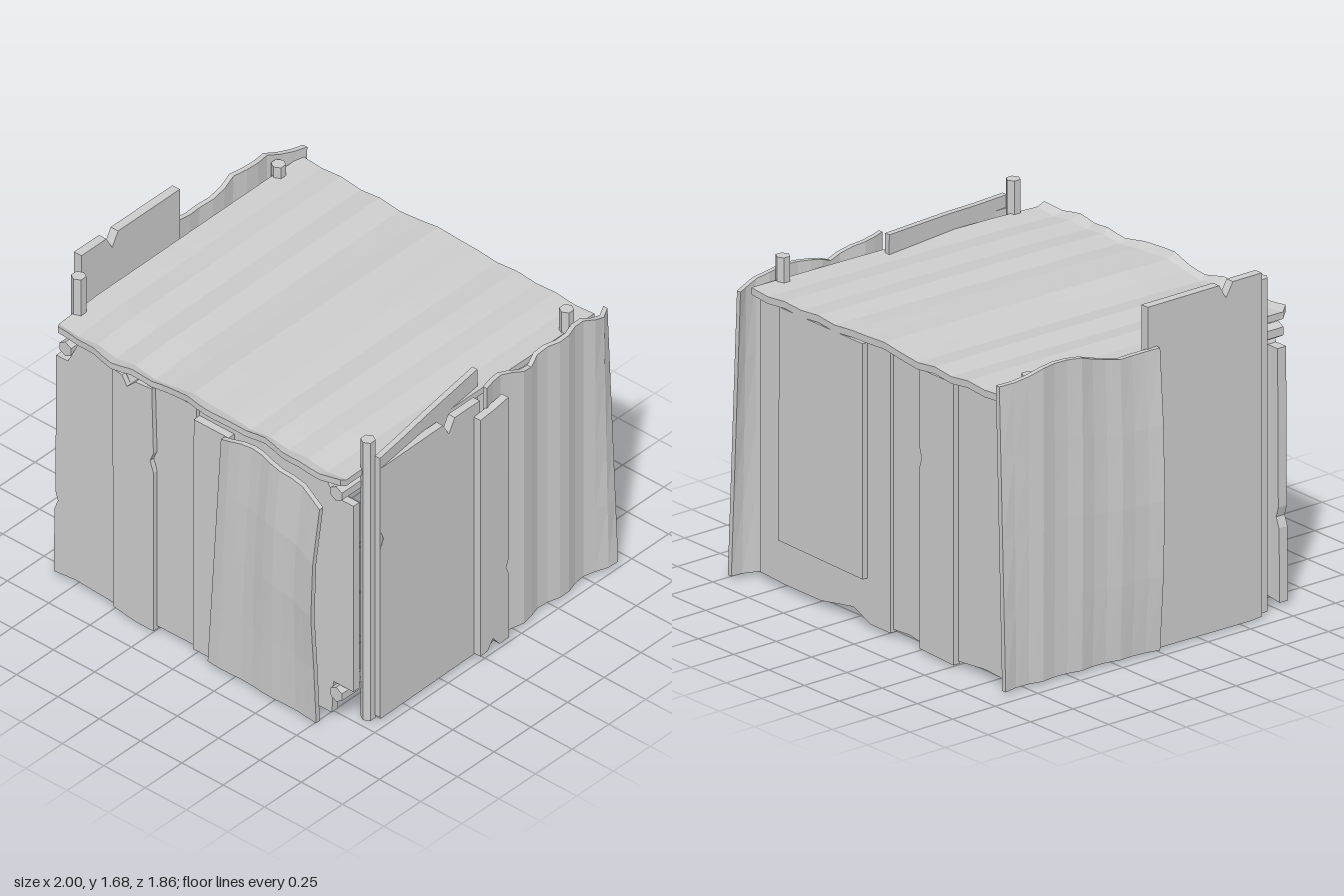
import * as THREE from 'three';

export function createModel() {
  const model = new THREE.Group();
  const mat = new THREE.MeshStandardMaterial({ color: 0xcccccc, flatShading: true });

  function add(name, geo) {
    const mesh = new THREE.Mesh(geo, mat);
    mesh.name = name;
    model.add(mesh);
    return mesh;
  }

  // Flat board with a ragged outline, facing front or back: z0 is its rear face
  function boardGeo(pts, t) {
    const shape = new THREE.Shape(pts.map(([a, b]) => new THREE.Vector2(a, b)));
    return new THREE.ExtrudeGeometry(shape, { depth: t, bevelEnabled: false });
  }
  const board = (name, pts, z0, t = 0.04) => add(name, boardGeo(pts, t).translate(0, 0, z0));

  // The same for a side wall: the outline is in (z, y), x1 is its face towards +x
  const sideBoard = (name, pts, x1, t = 0.04) =>
    add(name, boardGeo(pts, t).rotateY(-Math.PI / 2).translate(x1, 0, 0));

  // Bent sheet: a subdivided box whose points follow a rule of (u, v, w)
  function sheet(name, nu, nv, t, rule) {
    const geo = new THREE.BoxGeometry(1, 1, 1, nu, nv, 1);
    const p = geo.attributes.position;
    for (let i = 0; i < p.count; i++) {
      p.setXYZ(i, ...rule(p.getX(i) + 0.5, p.getY(i) + 0.5, p.getZ(i) * t));
    }
    geo.computeVertexNormals();
    return add(name, geo);
  }

  // Straight-line interpolation through evenly spaced values
  function along(values, u) {
    const f = u * (values.length - 1);
    const i = Math.min(Math.floor(f), values.length - 2);
    return THREE.MathUtils.lerp(values[i], values[i + 1], f - i);
  }
  const lerp = THREE.MathUtils.lerp;

  // Roof: gently corrugated across x, with a turned-up lip along the front
  const ripple = [0.01, -0.004, 0.01, -0.012, 0.006, -0.016, 0, 0.022, 0.012, 0.006, -0.01, 0.006, -0.01, 0, -0.018, -0.004];
  sheet('roof', 30, 8, 0.034, (u, v, w) => {
    const x = lerp(lerp(-0.83, -0.865, Math.min(1, v * 6)), lerp(0.88, 0.905, v), u);
    const front = 0.857 + 0.013 * Math.sin(x * 11 + 0.6);
    const z = along([front, 0.81, 0.54, 0.27, 0, -0.22, -0.44, -0.65, -0.853], v);
    const y = along([1.41, 1.392, 1.4, 1.402, 1.404, 1.406, 1.407, 1.408, 1.408], v);
    return [x, y + along(ripple, u) * lerp(1, 0.7, v) + w, z];
  });

  // Corner posts
  for (const [x, z, h] of [[-0.853, 0.68, 1.62], [0.898, 0.68, 1.57], [-0.853, -0.68, 1.49], [0.89, -0.68, 1.54]]) {
    add('cornerPost', new THREE.CylinderGeometry(0.035, 0.035, h, 6)).position.set(x, h / 2, z);
  }

  // Short rail ends that show beside the front wall
  for (const [x, y] of [[-0.8, 1.315], [0.838, 1.315], [0.838, 0.18]]) {
    const rail = add('railEnd', new THREE.CylinderGeometry(0.04, 0.04, 0.2, 6));
    rail.rotation.x = Math.PI / 2;
    rail.position.set(x, y, 0.73);
  }

  // Front wall
  board('frontLeftPanel', [[-0.875, 0.02], [-0.75, 0.035], [-0.49, 0.02], [-0.015, 0.025], [-0.01, 1.38],
    [-0.35, 1.37], [-0.41, 1.31], [-0.44, 1.37], [-0.73, 1.37], [-0.79, 1.25], [-0.86, 1.25],
    [-0.865, 0.48], [-0.85, 0.43], [-0.87, 0.38]], 0.775, 0.05);
  board('frontPlank', [[-0.49, 0.025], [-0.36, 0.005], [-0.25, 0.005], [-0.25, 0.9], [-0.27, 0.96],
    [-0.25, 1.01], [-0.26, 1.37], [-0.36, 1.36], [-0.41, 1.31], [-0.44, 1.36], [-0.5, 1.37]], 0.81, 0.04);
  board('frontNarrowPlank', [[-0.015, 0.02], [0.2, 0.02], [0.2, 1.32], [-0.01, 1.32]], 0.805);
  board('frontRightPanel', [[-0.03, 0.03], [0.79, 0.04], [0.8, 0.22], [0.92, 0.22], [0.92, 1.27],
    [0.81, 1.27], [0.74, 1.36], [-0.03, 1.385]], 0.765);
  // Bent sheet hung over the front right
  sheet('frontBentSheet', 10, 4, 0.025, (u, v, w) => {
    const x = lerp(lerp(0.1, 0.18, v), along([0.76, 0.765, 0.77, 0.785, 0.805], v), u);
    const top = along([1.32, 1.36, 1.36, 1.35, 1.33, 1.3, 1.25], u);
    const bulge = u * along([0, 0.02, 0.045, 0.048, 0.022], v);
    const wave = 0.01 * Math.sin(u * 14);
    return [x, lerp(0.025 - 0.02 * u, top, v), 0.862 + bulge + wave * (0.4 + 0.6 * v) + w];
  });

  // Right wall (+x)
  sideBoard('rightPanel', [[0.665, 0.01], [0.665, 0.97], [0.645, 1.02], [0.665, 1.07], [0.665, 1.425],
    [0.24, 1.43], [0.2, 1.36], [0.16, 1.43], [-0.01, 1.43], [-0.02, 0.02]], 0.96);
  sideBoard('rightPlank', [[0.03, 0.025], [-0.02, 0.03], [-0.055, 0.08], [-0.1, 0.025], [-0.165, 0.025],
    [-0.165, 0.38], [-0.145, 0.43], [-0.165, 0.48], [-0.16, 1.385], [-0.07, 1.37], [0.03, 1.36]], 1.0);
  // Leaning inner sheet behind the right wall
  sheet('rightInnerSheet', 8, 1, 0.03, (u, v, w) => [
    lerp(lerp(0.875, 0.85, v), 0.945, u) - w,
    lerp(0.02, along([1.51, 1.505, 1.5, 1.49, 1.485], u), v),
    lerp(-0.1, 0.67, u)]);
  // Corrugated sheet, its upper back corner bent inwards
  sheet('rightCorrugatedSheet', 14, 4, 0.025, (u, v, w) => {
    const bend = u < 0.13 ? (1 - u / 0.13) * lerp(0.03, -0.035, v) : 0;
    const top = along([1.42, 1.42, 1.46, 1.47, 1.465, 1.46, 1.46, 1.42, 1.44, 1.47, 1.475, 1.48], u);
    return [0.942 + bend + 0.015 * Math.sin(u * 20) - w, lerp(0.02 - 0.01 * u, top, v), lerp(-0.925, -0.05, u)];
  });

  // Left wall (-x)
  sideBoard('leftTallPlank', [[-0.05, 0.01], [0.55, 0.005], [0.62, 0.01], [0.62, 1.68], [0.45, 1.68],
    [0.41, 1.61], [0.37, 1.68], [-0.05, 1.68]], -0.89, 0.045);
  // Corrugated sheet: upper back corner bent inwards, forward edge flaring out
  sheet('leftCorrugatedSheet', 12, 4, 0.025, (u, v, w) => {
    const x = along([-0.905, -0.885, -0.91, -0.895, -0.92, -0.905, -0.93, -0.925, -0.95], u);
    const flare = Math.sin(v * Math.PI) * 0.035 * u * u;
    const bend = Math.max(0, 1 - u * 8) * lerp(0, 0.045, v);
    const top = along([1.48, 1.49, 1.53, 1.535, 1.53, 1.49, 1.47, 1.47, 1.48], u);
    return [x + bend - flare - w, lerp(0.01, top, v), lerp(-0.87, 0, u)];
  });

  // Back wall
  board('backRightPanel', [[0.88, 0.04], [0.88, 1.39], [-0.04, 1.39], [-0.04, 0.02], [0.1, 0.02],
    [0.22, 0.07], [0.45, 0.03], [0.7, 0.03]], -0.82);
  board('backPatch', [[0.72, 0.25], [0.71, 1.385], [0.12, 1.385], [0.12, 0.24]], -0.85, 0.03);
  board('backMiddlePanel', [[0, 0.03], [0, 1.39], [-0.3, 1.39], [-0.3, 0.02], [-0.15, 0.04]], -0.8);
  board('backPlank', [[-0.27, 0.02], [-0.27, 0.9], [-0.285, 0.95], [-0.27, 1.0], [-0.27, 1.38],
    [-0.51, 1.38], [-0.51, 0.01], [-0.4, 0.015]], -0.84);
  board('backLeftPanel', [[-0.48, 0.02], [-0.48, 1.39], [-0.87, 1.39], [-0.87, 0.03], [-0.7, 0.04]], -0.81);

  return model;
}
